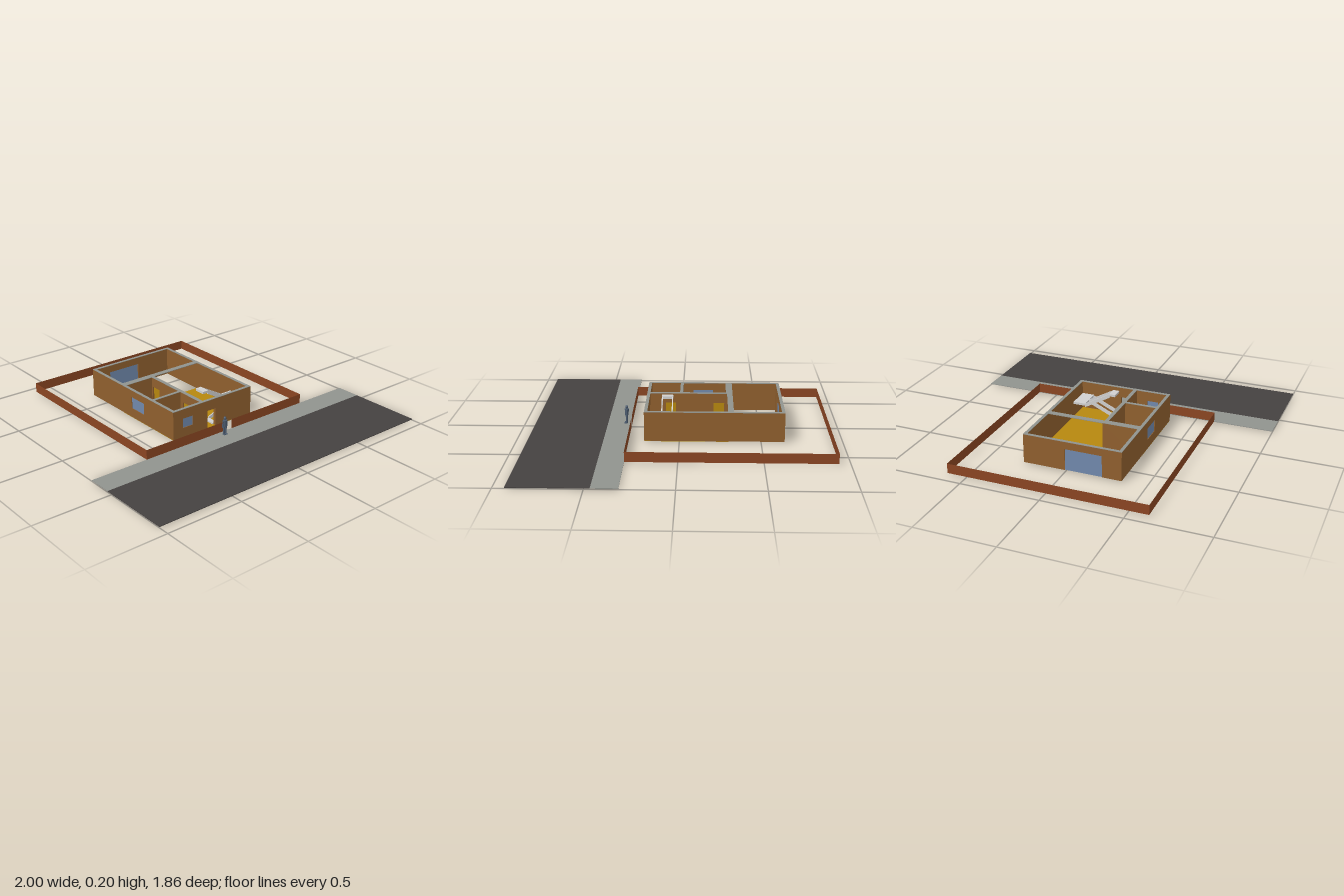
import * as THREE from 'three';

const mat = (name, color) => {
  const m = new THREE.MeshStandardMaterial({ color, side: THREE.DoubleSide });
  m.name = name;
  return m;
};

export function createModel() {
  const M = {
    wall: mat('wall brown', 0x8f5f2e),
    fence: mat('fence red brown', 0x8a4522),
    cap: mat('concrete grey', 0x90938e),
    road: mat('asphalt', 0x454140),
    floor: mat('ochre', 0xb6870e),
    glass: mat('glass blue', 0x7088ab),
    stair: mat('stair light grey', 0xcfcfcf),
    figure: mat('figure slate', 0x4c5c70),
  };
  const root = new THREE.Group();
  const G = 0.008, TOP = 0.193;

  const group = (name) => {
    const g = new THREE.Group();
    g.name = name;
    root.add(g);
    return g;
  };
  const add = (parent, name, geo, material) => {
    const m = new THREE.Mesh(geo, material);
    m.name = name;
    parent.add(m);
    return m;
  };
  // Box given by its minimum and maximum on each axis
  const box = (parent, name, material, x0, x1, y0, y1, z0, z1) => {
    const m = add(parent, name, new THREE.BoxGeometry(x1 - x0, y1 - y0, z1 - z0), material);
    m.position.set((x0 + x1) / 2, (y0 + y1) / 2, (z0 + z1) / 2);
    return m;
  };

  // Wall running from a to b; doors notch the bottom edge, windows are holes
  const wall = (parent, name, along, a, b, at, t, doors = [], windows = []) => {
    const s = new THREE.Shape();
    s.moveTo(a, G);
    for (const [d0, d1, h] of doors) {
      s.lineTo(d0, G);
      s.lineTo(d0, h);
      s.lineTo(d1, h);
      s.lineTo(d1, G);
    }
    s.lineTo(b, G);
    s.lineTo(b, TOP - 0.002);
    s.lineTo(a, TOP - 0.002);
    s.closePath();
    for (const [w0, w1, y0, y1] of windows) {
      const p = new THREE.Path();
      p.moveTo(w0, y0);
      p.lineTo(w0, y1);
      p.lineTo(w1, y1);
      p.lineTo(w1, y0);
      p.closePath();
      s.holes.push(p);
    }
    const geo = new THREE.ExtrudeGeometry(s, { depth: t, bevelEnabled: false });
    if (along === 'z') geo.rotateY(-Math.PI / 2).translate(at + t, 0, 0);
    else geo.translate(0, 0, at);
    add(parent, name, geo, M.wall);
    // Grey top of the wall
    if (along === 'z') box(parent, name + 'Cap', M.cap, at, at + t, TOP - 0.002, TOP, a, b);
    else box(parent, name + 'Cap', M.cap, a, b, TOP - 0.002, TOP, at, at + t);
  };

  // Street
  const street = group('street');
  box(street, 'pavement', M.cap, -1, 1, G - 0.004, G, 0.31, 0.465);
  box(street, 'road', M.road, -1, 1, G - 0.004, G, 0.465, 0.93);

  // Boundary fence of thin upright sheets, with a gap at the gate
  const fence = group('fence');
  const sheet = (name, x0, z0, x1, z1) => {
    const geo = new THREE.PlaneGeometry(Math.hypot(x1 - x0, z1 - z0), 0.07 - G);
    const m = add(fence, name, geo, M.fence);
    m.position.set((x0 + x1) / 2, (0.07 + G) / 2, (z0 + z1) / 2);
    m.rotation.y = Math.atan2(z0 - z1, x1 - x0);
  };
  sheet('frontFenceRight', -0.62, 0.31, -0.035, 0.31);
  sheet('frontFenceLeft', 0.03, 0.31, 0.62, 0.31);
  sheet('backFence', 0.62, -0.93, -0.62, -0.93);
  sheet('sideFenceLeft', 0.62, 0.31, 0.62, -0.93);
  sheet('sideFenceRight', -0.62, -0.93, -0.62, 0.31);

  // Outer walls
  const house = group('house');
  const T = 0.02;
  wall(house, 'frontWall', 'x', -0.35, 0.27, 0.195, T,
    [[-0.085, -0.02, 0.125]], [[-0.275, -0.2, 0.068, 0.13]]);
  wall(house, 'backWall', 'x', -0.35, 0.27, -0.643, T, [[-0.228, 0.004, 0.145]]);
  wall(house, 'rightWall', 'z', -0.623, 0.195, -0.35, T, [], [[-0.21, -0.08, 0.068, 0.145]]);
  wall(house, 'leftWall', 'z', -0.623, 0.195, 0.25, T);

  // Inner walls; the living room is open to the yard below a flat lintel
  wall(house, 'longPartition', 'z', -0.29, 0.195, -0.13, 0.024,
    [[-0.28, -0.21, 0.13], [0.03, 0.095, 0.13]]);
  wall(house, 'crossPartition', 'x', -0.33, -0.13, -0.015, T);
  wall(house, 'rearPartition', 'x', -0.33, -0.106, -0.332, 0.042);
  box(house, 'lintel', M.cap, -0.106, 0.25, TOP - 0.004, TOP, -0.332, -0.297);

  // Floor, inner doors and glazing
  box(house, 'floor', M.floor, -0.349, 0.269, G - 0.003, G + 0.001, -0.3, 0.214);
  box(house, 'rearRoomDoor', M.floor, -0.121, -0.115, G, 0.13, -0.28, -0.21);
  box(house, 'frontRoomDoor', M.floor, -0.121, -0.115, G, 0.13, 0.03, 0.095);
  box(house, 'frontWindow', M.glass, -0.275, -0.2, 0.068, 0.13, 0.205, 0.211);
  box(house, 'sideWindow', M.glass, -0.346, -0.34, 0.068, 0.145, -0.21, -0.08);
  box(house, 'yardGlassDoor', M.glass, -0.228, 0.004, G, 0.145, -0.639, -0.633);

  // Staircase: two flights of sloping stringers joined by a landing
  const stairs = group('staircase');
  const stringer = (name, x0, y0, x1, y1, z) => {
    const s = new THREE.Shape();
    s.moveTo(x0, y0);
    s.lineTo(x1, y1);
    s.lineTo(x1, y1 + 0.025);
    s.lineTo(x0, y0 + 0.025);
    s.closePath();
    const geo = new THREE.ExtrudeGeometry(s, { depth: 0.007, bevelEnabled: false });
    add(stairs, name, geo.translate(0, 0, z), M.stair);
  };
  stringer('upperStringer', 0.17, 0.085, 0, 0.18, 0.045);
  stringer('upperStringer', 0.17, 0.085, 0, 0.18, 0.11);
  stringer('lowerStringer', 0, 0.002, 0.18, 0.085, 0.122);
  stringer('lowerStringer', 0, 0.002, 0.18, 0.085, 0.188);
  box(stairs, 'landing', M.stair, 0.17, 0.25, 0.095, 0.11, 0.045, 0.195);
  box(stairs, 'topStep', M.stair, -0.038, 0.002, 0.19, 0.205, 0.045, 0.117);
  box(stairs, 'bottomStep', M.stair, -0.028, 0.006, 0, 0.018, 0.122, 0.195);

  // Standing person by the gate
  const person = group('person');
  person.position.set(-0.055, G, 0.345);
  const limb = (name, r0, r1, h, x, y, lean = 0) => {
    const m = add(person, name, new THREE.CylinderGeometry(r0, r1, h, 8), M.figure);
    m.position.set(x, y, 0);
    m.rotation.z = lean;
  };
  for (const s of [-1, 1]) {
    limb('leg', 0.0075, 0.005, 0.056, s * 0.007, 0.028);
    limb('arm', 0.0045, 0.0035, 0.043, s * 0.016, 0.071, s * 0.12);
    box(person, 'shoe', M.figure, s * 0.007 - 0.005, s * 0.007 + 0.005, 0, 0.006, -0.005, 0.014);
  }
  limb('torso', 0.0135, 0.011, 0.042, 0, 0.074);
  limb('neck', 0.004, 0.005, 0.008, 0, 0.098);
  const head = add(person, 'head', new THREE.SphereGeometry(0.009, 10, 8), M.figure);
  head.position.y = 0.108;
  head.scale.y = 1.15;

  return root;
}
